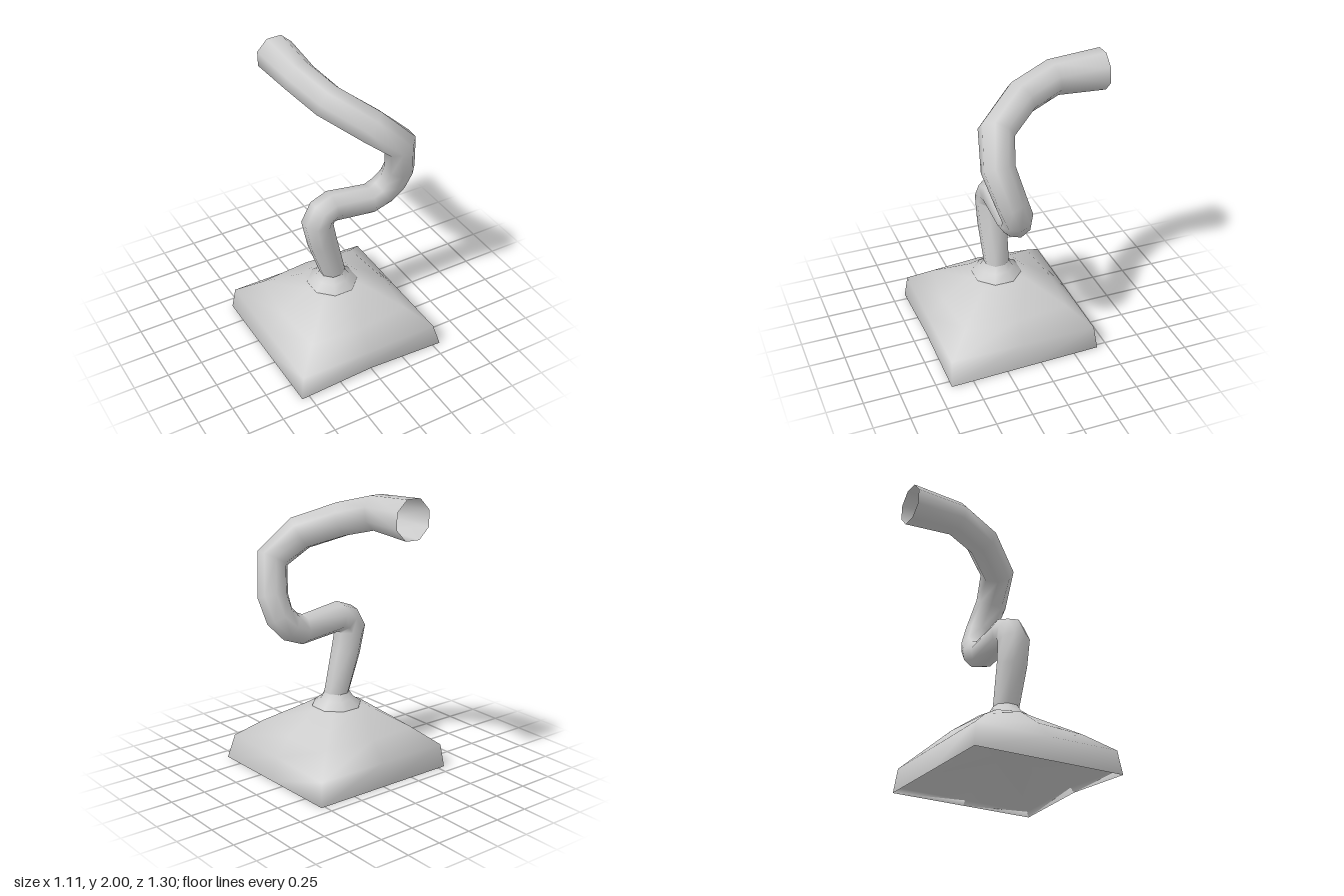
import * as THREE from 'three';

const SIDES = 8;
const grey = new THREE.MeshStandardMaterial({ color: 0xcccccc, side: THREE.DoubleSide });

// Joins eight-sided rings of points into one smooth skin
function loft(name, rings) {
  const pos = [], index = [];
  rings.forEach((ring) => ring.forEach((p) => pos.push(p.x, p.y, p.z)));
  for (let i = 0; i < rings.length - 1; i++) {
    for (let j = 0; j < SIDES; j++) {
      const a = i * SIDES + j, b = i * SIDES + (j + 1) % SIDES;
      const c = a + SIDES, d = b + SIDES;
      index.push(a, c, b, b, c, d);
    }
  }
  const geo = new THREE.BufferGeometry();
  geo.setAttribute('position', new THREE.Float32BufferAttribute(pos, 3));
  geo.setIndex(index);
  geo.computeVertexNormals();
  const mesh = new THREE.Mesh(geo, grey);
  mesh.name = name;
  return mesh;
}

// Octagonal rings mitred along a path of [x, y, z, radius], turning slightly by twist
function sweepRings(path, twist = 0) {
  const pts = path.map(([x, y, z]) => new THREE.Vector3(x, y, z));
  const dir = (i) => pts[i + 1].clone().sub(pts[i]).normalize();
  const last = pts.length - 1;
  const normal = new THREE.Vector3(1, 0, 0);
  return pts.map((p, i) => {
    const t = i === 0 ? dir(0) : i === last ? dir(last - 1) : dir(i - 1).add(dir(i)).normalize();
    normal.addScaledVector(t, -normal.dot(t)).normalize();
    const side = normal.clone().cross(t);
    return Array.from({ length: SIDES }, (_, j) => {
      const a = ((j + 0.5) / SIDES) * Math.PI * 2 + (twist * i) / last, r = path[i][3] * 1.05;
      return p.clone().addScaledVector(normal, Math.cos(a) * r).addScaledVector(side, Math.sin(a) * r);
    });
  });
}

// Square hood ring from corner and mid-side half widths
function hoodRing(y, corner, mid) {
  return Array.from({ length: SIDES }, (_, j) => {
    const a = (j / SIDES) * Math.PI * 2;
    const r = j % 2 ? corner * Math.SQRT2 : mid;
    return new THREE.Vector3(Math.cos(a) * r - 0.014, y, Math.sin(a) * r + 0.114);
  });
}

// Bottom edge: front middle lifted, front left corner drawn outwards
function hoodEdge(y, half) {
  const ring = hoodRing(y, half, half);
  ring[0].x += 0.015;
  ring[1].x += 0.03;
  ring[2].y += 0.03;
  return ring;
}

export function createModel() {
  const model = new THREE.Group();

  // Flared square hood: shallow hollow underside, rim, then the outer skin
  model.add(loft('hood', [
    hoodRing(0.2, 0.001, 0.001),
    hoodRing(0.14, 0.25, 0.25),
    hoodEdge(0.03, 0.512),
    hoodEdge(0, 0.541),
    hoodRing(0.165, 0.52, 0.52),
    hoodRing(0.29, 0.37, 0.405),
    hoodRing(0.435, 0.155, 0.2),
    hoodRing(0.435, 0.04, 0.05),
  ]));

  // Flanged collar where the pipe meets the hood
  model.add(loft('collar', sweepRings([
    [-0.02, 0.42, 0.12, 0.167],
    [-0.02, 0.442, 0.12, 0.167],
    [-0.02, 0.485, 0.12, 0.112],
    [-0.02, 0.53, 0.12, 0.085],
  ])));

  // Bent pipe, open at its back end
  model.add(loft('pipe', sweepRings([
    [-0.02, 0.49, 0.12, 0.082],
    [-0.02, 0.53, 0.12, 0.084],
    [-0.1, 0.81, 0.12, 0.098],
    [-0.133, 0.975, 0.116, 0.104],
    [-0.092, 1.05, 0.113, 0.102],
    [-0.02, 1.076, 0.112, 0.101],
    [0.272, 1.037, 0.116, 0.097],
    [0.37, 1.075, 0.12, 0.098],
    [0.44, 1.155, 0.14, 0.098],
    [0.458, 1.285, 0.188, 0.1],
    [0.408, 1.52, 0.258, 0.106],
    [0.222, 1.677, 0.2, 0.115],
    [0.037, 1.79, -0.04, 0.115],
    [-0.035, 1.859, -0.29, 0.116],
    [-0.03, 1.865, -0.645, 0.134],
  ], Math.PI / 8)));

  return model;
}
